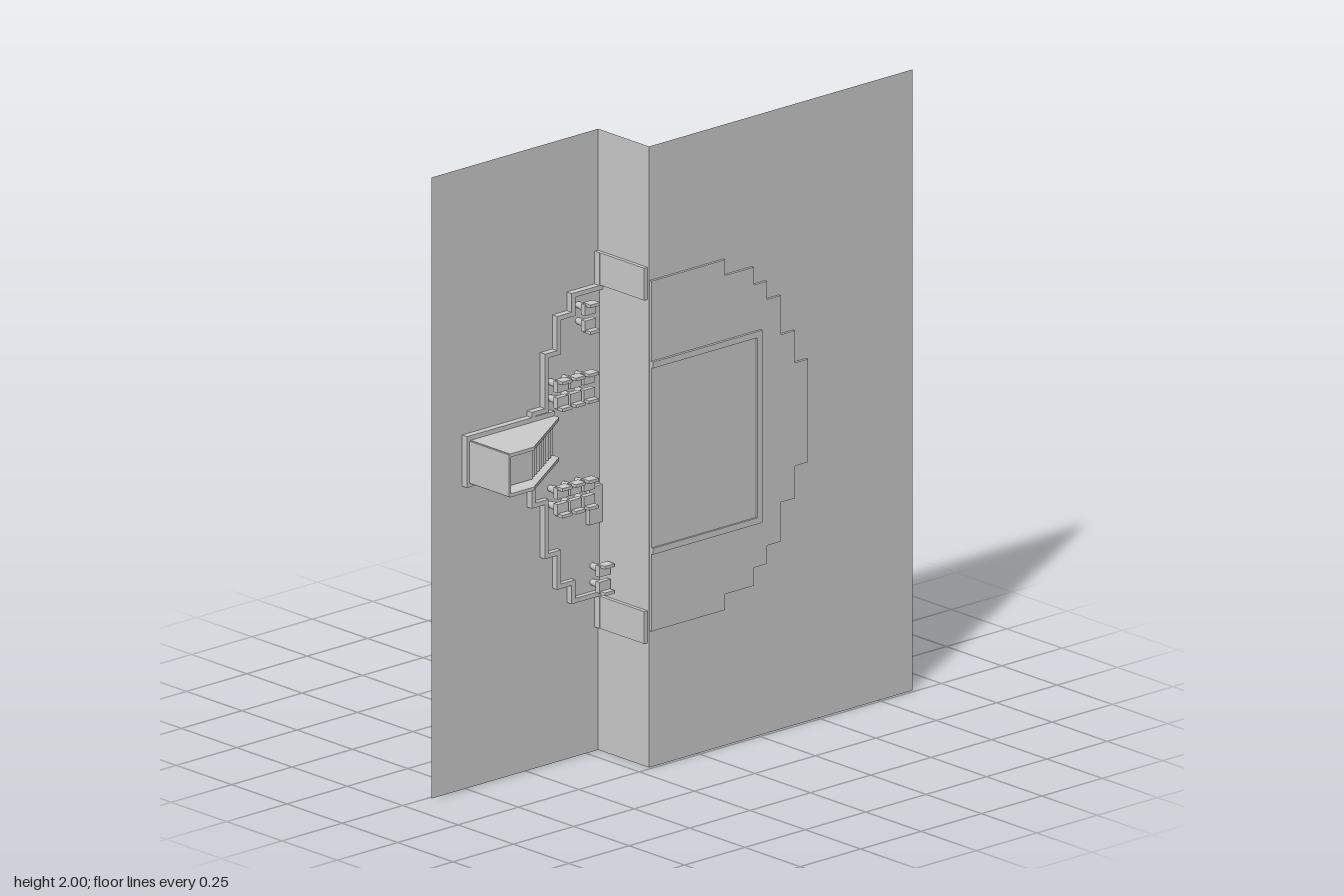
import * as THREE from 'three';

const CY = 1.004;
const grey = new THREE.MeshStandardMaterial({ color: 0xcccccc, side: THREE.DoubleSide });
grey.name = 'light grey';

const shapeOf = pts => new THREE.Shape(pts.map(([x, y]) => new THREE.Vector2(x, y)));
const extrude = (pts, depth) =>
  new THREE.ExtrudeGeometry(shapeOf(pts), { depth, bevelEnabled: false });

function add(parent, name, geometry, x = 0, y = 0, z = 0) {
  const mesh = new THREE.Mesh(geometry, grey);
  mesh.name = name;
  mesh.position.set(x, y, z);
  parent.add(mesh);
  return mesh;
}

// box given by its low and high corners
function box(parent, name, [x0, y0, z0], [x1, y1, z1]) {
  return add(parent, name, new THREE.BoxGeometry(x1 - x0, y1 - y0, z1 - z0),
    (x0 + x1) / 2, (y0 + y1) / 2, (z0 + z1) / 2);
}

// upper half of a stepped circle; steps are [edge x, height above the centre], outermost first
function quarter(steps, shift = 0, lift = 0) {
  const pts = [];
  steps.forEach(([x, h], i) => {
    pts.push([x + shift, i ? steps[i - 1][1] + lift : 0], [x + shift, h + lift]);
  });
  return pts.slice(1);
}
const flip = pts => pts.map(([x, y]) => [x, -y]).reverse();
const lifted = pts => pts.map(([x, y]) => [x, y + CY]);

const rightSteps = [[0.45, 0.166], [0.395, 0.27], [0.337, 0.396], [0.28, 0.455], [0.225, 0.513], [0.105, 0.564]];
const leftSteps = [[-0.495, 0.155], [-0.44, 0.33], [-0.39, 0.44], [-0.33, 0.5], [-0.215, 0.605]];

// right half of the stepped drum, drawn in by a small amount
function drumOutline(inset) {
  const q = quarter(rightSteps, -inset, -inset);
  const top = 0.564 - inset;
  return lifted([...flip(q), ...q, [-0.198, top], [-0.198, -top]]);
}

export function createModel() {
  const model = new THREE.Group();

  // two wall sheets joined by a return
  const walls = new THREE.Group();
  walls.name = 'steppedWall';
  model.add(walls);
  add(walls, 'frontWall', new THREE.PlaneGeometry(1.09, 2), 0.345, 1, 0.24);
  add(walls, 'backWall', new THREE.PlaneGeometry(0.69, 2), -0.545, 1, 0.01);
  add(walls, 'wallReturn', new THREE.PlaneGeometry(0.23, 2).rotateY(-Math.PI / 2), -0.2, 1, 0.125);

  // stepped drum in bands
  const drum = new THREE.Group();
  drum.name = 'drum';
  model.add(drum);
  [['rearRim', 0.014, 0.022, 0.035], ['rearBand', 0.004, 0.035, 0.07],
    ['drumBody', 0.009, 0.07, 0.215], ['frontRim', 0, 0.215, 0.249]].forEach(([name, inset, z0, z1]) =>
    add(drum, name, extrude(drumOutline(inset), z1 - z0), 0, 0, z0));

  // square panel and its frame
  const panel = new THREE.Group();
  panel.name = 'framedPanel';
  model.add(panel);
  box(panel, 'pane', [-0.2, 0.71, 0.245], [0.235, 1.29, 0.251]);
  box(panel, 'frameTop', [-0.2, 1.29, 0.245], [0.253, 1.31, 0.258]);
  box(panel, 'frameBottom', [-0.2, 0.69, 0.245], [0.253, 0.71, 0.258]);
  box(panel, 'frameSide', [0.233, 0.69, 0.245], [0.253, 1.31, 0.258]);

  // left floor and its raised border
  const outer = quarter(leftSteps);
  const inner = quarter(leftSteps, 0.015, -0.015);
  const full = q => [...flip(q), ...q];
  add(model, 'leftFloor', new THREE.ShapeGeometry(shapeOf(lifted([...full(outer), [-0.2, 0.605], [-0.2, -0.605]]))), 0, 0, 0.015);
  add(model, 'floorBorder', extrude(lifted([...full(outer), ...full(inner).reverse()]), 0.022), 0, 0, 0.01);
  for (const s of [-1, 1]) {
    const y = CY + s * 0.553;
    box(model, 'wallPost', [-0.213, y - 0.052, 0.01], [-0.2, y + 0.052, 0.232]);
  }
  box(model, 'doorStep', [-0.255, 0.74, 0.015], [-0.2, 0.86, 0.03]);

  // side stairs with a landing and cheek walls
  const stairs = new THREE.Group();
  stairs.name = 'sideStairs';
  model.add(stairs);
  const run = [[-0.745, 0.012], [-0.745, 0.155], [-0.605, 0.155]];
  const count = 9;
  for (let i = 0; i < count; i++) {
    const x = -0.605 + i * 0.2 / count;
    const z = 0.155 - (i + 1) * 0.125 / count;
    run.push([x, z], [x + 0.2 / count, z]);
  }
  run.push([-0.405, 0.012]);
  add(stairs, 'steps', extrude(run, 0.12).rotateX(Math.PI / 2), 0, 1.12, 0);
  const cheek = [[-0.748, 0.012], [-0.748, 0.21], [-0.65, 0.21], [-0.4, 0.052], [-0.4, 0.012]];
  for (const y of [0.998, 1.127])
    add(stairs, 'cheekWall', extrude(cheek, 0.011).rotateX(Math.PI / 2), 0, y, 0);
  box(stairs, 'endWall', [-0.753, 0.99, 0.012], [-0.745, 1.125, 0.21]);
  for (const y of [0.977, 1.127])
    box(stairs, 'sideBorder', [-0.763, y, 0.01], [-0.4, y + 0.015, 0.032]);
  box(stairs, 'endBorder', [-0.763, 0.977, 0.01], [-0.749, 1.142, 0.032]);

  // seats in facing pairs
  function seat(x, y, s) {
    const g = new THREE.Group();
    g.name = 'seat';
    g.position.set(x, y, 0.015);
    model.add(g);
    add(g, 'pedestal', new THREE.CylinderGeometry(0.016, 0.01, 0.045, 8).rotateX(Math.PI / 2), 0, 0, 0.022);
    add(g, 'cushion', new THREE.BoxGeometry(0.046, 0.036, 0.018), 0, 0, 0.05);
    add(g, 'backrest', new THREE.BoxGeometry(0.04, 0.01, 0.034), 0, s * 0.017, 0.063);
  }
  const pairs = [[-0.29, 1.43], [-0.23, 0.575]];
  for (const x of [-0.405, -0.35, -0.295]) pairs.push([x, 1.208], [x, 0.865]);
  for (const [x, y] of pairs) for (const s of [-1, 1]) seat(x, y + s * 0.026, s);

  // rear disc with a notch over the hatch
  const rear = [[0.455, 0.166], [0.4, 0.3], [0.345, 0.41], [0.285, 0.47], [0.225, 0.52], [0.1, 0.575]];
  const rq = quarter(rear);
  const lq = rq.map(([x, y]) => [-0.03 - x, y]).reverse();
  const disc = [...flip(rq), ...rq, ...lq, ...flip(lq),
    [-0.14, -0.575], [-0.14, -0.35], [0.005, -0.35], [0.005, -0.575]];
  // the notch is threaded into the bottom edge
  add(model, 'rearDisc', new THREE.ShapeGeometry(shapeOf(lifted(disc))), 0, 0, -0.25);

  // hatch stairs at the bottom
  const hatch = new THREE.Group();
  hatch.name = 'hatchStairs';
  model.add(hatch);
  const side = [[0.06, 0.415], [-0.077, 0.415], [-0.077, 0.49], [0.01, 0.62], [0.06, 0.62]];
  for (const x of [0.01, -0.122])
    add(hatch, 'hatchSide', extrude(side, 0.008).rotateY(-Math.PI / 2), x, 0, 0);
  const flight = [[0.03, 0.43], [-0.077, 0.43], [-0.077, 0.48]];
  for (let i = 0; i < 8; i++) {
    const z = -0.077 + (i + 1) * 0.011;
    flight.push([z, 0.48 + i * 0.016], [z, 0.496 + i * 0.016]);
  }
  flight.push([0.03, 0.608]);
  add(hatch, 'hatchSteps', extrude(flight, 0.128).rotateY(-Math.PI / 2), 0.004, 0, 0);
  box(hatch, 'hatchBase', [-0.13, 0.412, -0.077], [0.01, 0.43, 0.06]);

  return model;
}
